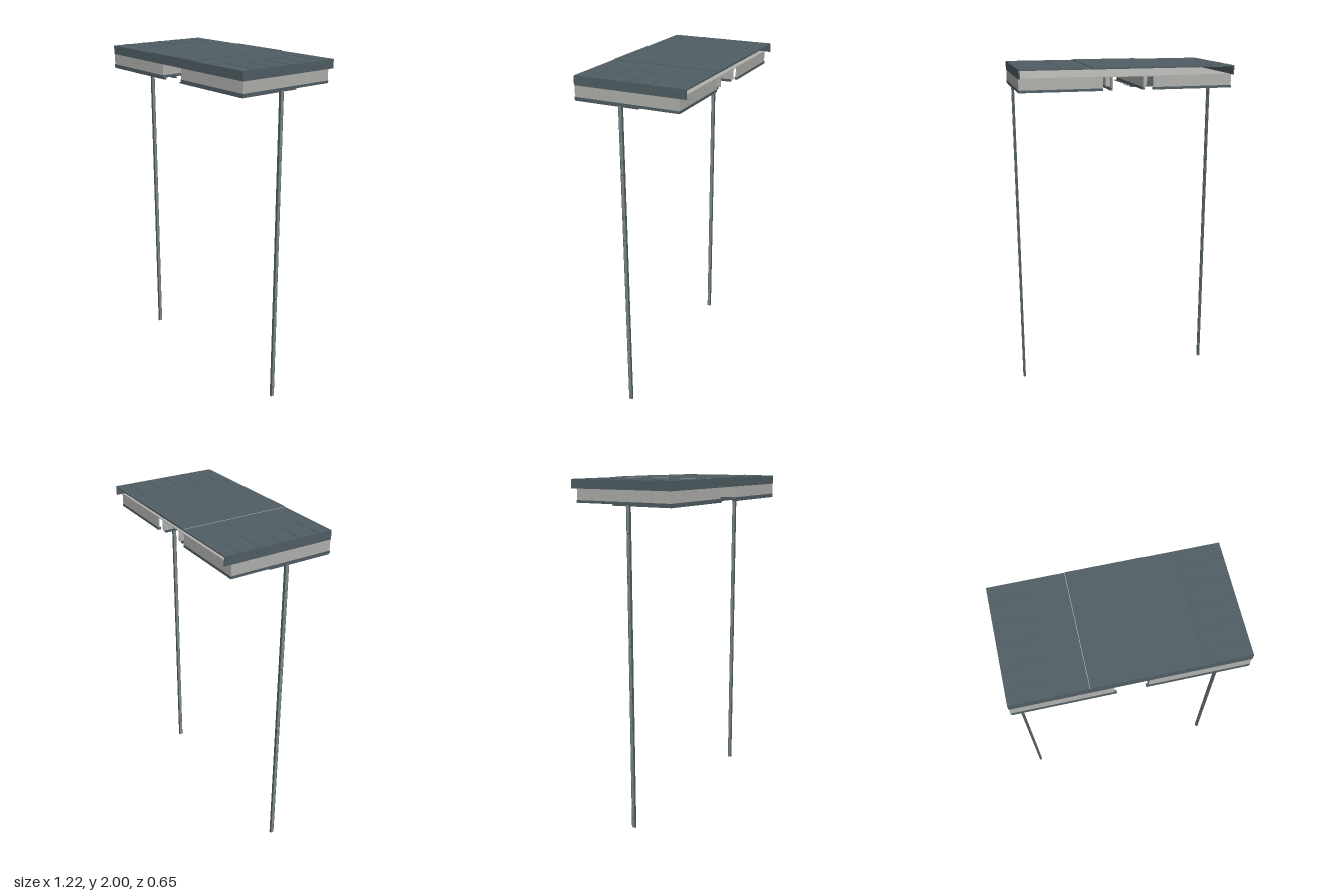
import * as THREE from 'three';

const slate = new THREE.MeshStandardMaterial({ color: 0x505e65 });
slate.name = 'slate';
const paleGrey = new THREE.MeshStandardMaterial({ color: 0xb0b1ad });
paleGrey.name = 'paleGrey';
const steel = new THREE.MeshStandardMaterial({ color: 0x7f8a8a });
steel.name = 'steel';

// Box given by its min and max on each axis
function block(parent, name, material, [x0, x1], [y0, y1], [z0, z1]) {
  const mesh = new THREE.Mesh(new THREE.BoxGeometry(x1 - x0, y1 - y0, z1 - z0), material);
  mesh.position.set((x0 + x1) / 2, (y0 + y1) / 2, (z0 + z1) / 2);
  mesh.name = name;
  parent.add(mesh);
}

// Range mirrored to the chosen side
const side = (s, a, b) => (s > 0 ? [a, b] : [-b, -a]);

// Hollow top: sheet above, thin deck below, open along the back
function createTop() {
  const top = new THREE.Group();
  top.name = 'top';
  block(top, 'topPanel', slate, [-0.61, 0.61], [1.99, 1.997], [-0.325, 0.322]);
  block(top, 'centreSheet', slate, [-0.204, 0.204], [1.997, 2], [-0.325, 0.322]);
  block(top, 'seam', paleGrey, [-0.208, -0.205], [1.997, 1.9985], [-0.325, 0.322]);
  block(top, 'crossRidge', slate, [0.375, 0.379], [1.997, 1.999], [-0.32, 0.32]);
  block(top, 'lowerDeck', paleGrey, [-0.6, 0.6], [1.944, 1.948], [-0.29, 0.313]);
  block(top, 'frontFascia', slate, [-0.61, 0.61], [1.946, 1.99], [0.313, 0.322]);

  for (const s of [-1, 1]) {
    block(top, 'sideFascia', slate, side(s, 0.602, 0.61), [1.946, 1.99], [-0.325, 0.313]);
    for (let i = 0; i < 5; i++) {
      const z = -0.24 + i * 0.12;
      block(top, 'ridge', slate, side(s, 0.4, 0.605), [1.997, 1.999], [z - 0.003, z + 0.003]);
    }
  }
  return top;
}

// Open-bottomed frame with a dark foot rail and slats under its front half
function createTray(s) {
  const tray = new THREE.Group();
  tray.name = s > 0 ? 'leftTray' : 'rightTray';
  // The back wall and rail stop short of the inner wall, leaving a notch
  const walls = [
    ['frontWall', 0.088, 0.608, 0.314, 0.321],
    ['backWall', 0.145, 0.608, -0.288, -0.281],
    ['outerWall', 0.601, 0.608, -0.281, 0.314],
    ['innerWall', 0.088, 0.095, -0.288, 0.314],
  ];
  for (const [name, x0, x1, z0, z1] of walls) {
    block(tray, name, paleGrey, side(s, x0, x1), [1.884, 1.946], [z0, z1]);
  }
  const rails = [
    ['frontRail', 0.086, 0.61, 0.307, 0.323],
    ['backRail', 0.145, 0.61, -0.29, -0.274],
    ['outerRail', 0.594, 0.61, -0.274, 0.307],
    ['innerRail', 0.086, 0.1, -0.274, 0.307],
  ];
  for (const [name, x0, x1, z0, z1] of rails) {
    block(tray, name, slate, side(s, x0, x1), [1.87, 1.884], [z0, z1]);
  }
  for (let i = 0; i < 6; i++) {
    const z = -0.045 + i * 0.072;
    block(tray, 'slat', slate, side(s, 0.075, 0.595), [1.862, 1.87], [z - 0.008, z + 0.008]);
  }
  block(tray, 'slatRunner', slate, side(s, 0.595, 0.605), [1.862, 1.87], [-0.053, 0.323]);
  // Small bracket by the notch
  block(tray, 'bracket', paleGrey, side(s, 0.095, 0.12), [1.89, 1.944], [-0.25, -0.243]);
  return tray;
}

function createLeg(s) {
  const leg = new THREE.Group();
  leg.name = s > 0 ? 'leftLeg' : 'rightLeg';
  block(leg, 'post', slate, side(s, 0.596, 0.609), [0, 1.87], [0.04, 0.062]);
  // Bright strips on both flanks
  for (const x of [0.595, 0.609]) {
    block(leg, 'legStrip', steel, side(s, x, x + 0.001), [0, 1.87], [0.043, 0.059]);
  }
  // Adjustment marks
  for (const y of [0.06, 0.16, 0.34, 0.66, 0.81, 1.1, 1.24, 1.49, 1.56, 1.72]) {
    block(leg, 'legMark', slate, side(s, 0.61, 0.6105), [y - 0.003, y + 0.003], [0.044, 0.058]);
  }
  return leg;
}

export function createModel() {
  const model = new THREE.Group();
  model.name = 'raisedPlatform';
  model.add(createTop());
  for (const s of [-1, 1]) model.add(createTray(s), createLeg(s));
  // Dark brace under the left half
  block(model, 'underBrace', slate, [0.13, 0.22], [1.936, 1.944], [-0.28, 0.313]);
  return model;
}
